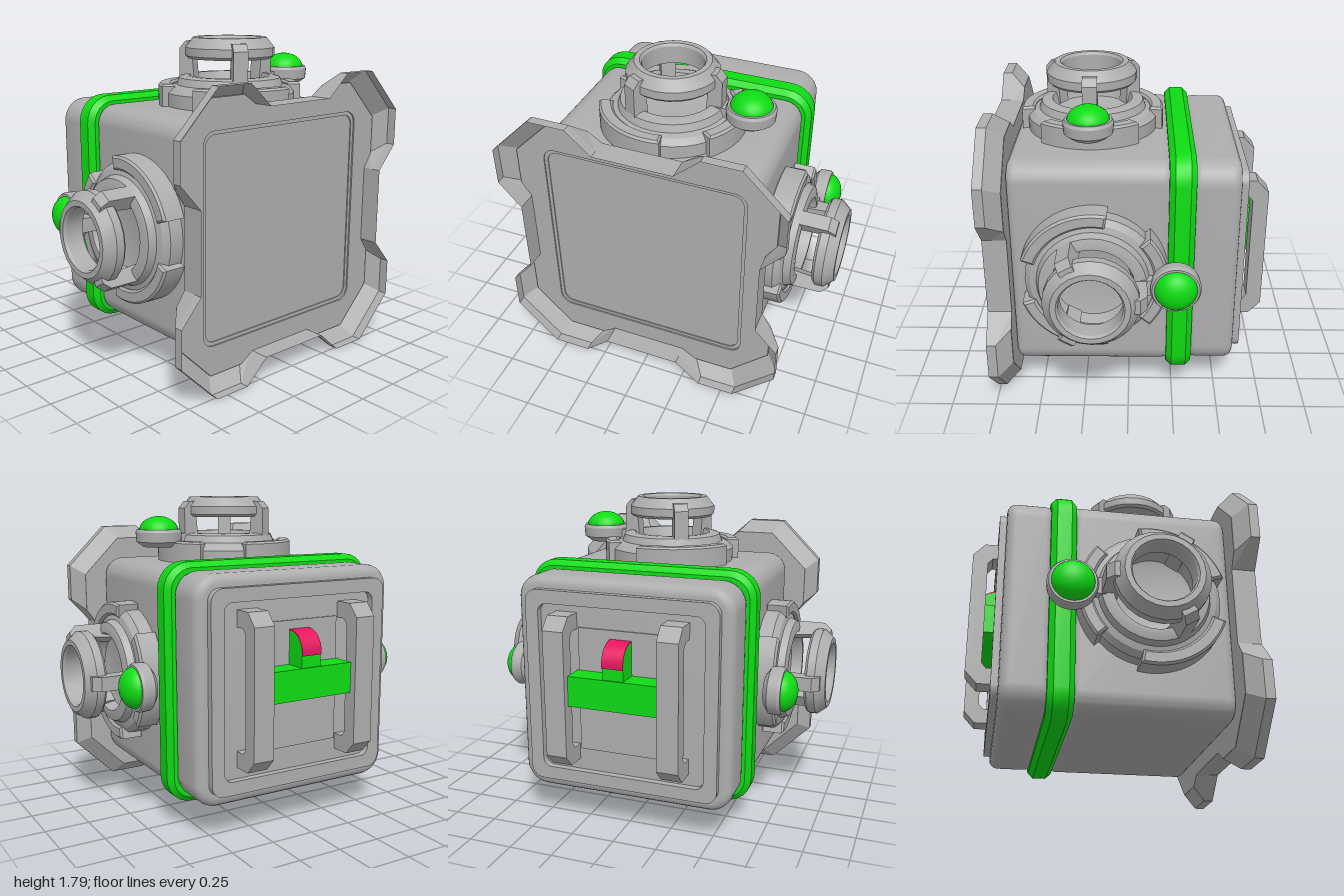
import * as THREE from 'three';
import { toCreasedNormals } from 'three/addons/utils/BufferGeometryUtils.js';

const grey = new THREE.MeshStandardMaterial({ color: 0xaeaeae, side: THREE.DoubleSide });
grey.name = 'grey shell';
const green = new THREE.MeshStandardMaterial({ color: 0x0fdc14 });
green.name = 'green accent';
const red = new THREE.MeshStandardMaterial({ color: 0xe61560 });
red.name = 'red accent';

const CY = 0.808; // height of the body axis

function add(parent, name, geometry, material, x = 0, y = 0, z = 0) {
  const mesh = new THREE.Mesh(geometry, material);
  mesh.name = name;
  mesh.position.set(x, y, z);
  parent.add(mesh);
  return mesh;
}

const polygon = (points) => new THREE.Shape(points.map(([x, y]) => new THREE.Vector2(x, y)));

function roundedSquare(h, r) {
  const s = new THREE.Shape();
  s.moveTo(-h + r, -h);
  s.lineTo(h - r, -h);
  s.absarc(h - r, -h + r, r, -Math.PI / 2, 0);
  s.lineTo(h, h - r);
  s.absarc(h - r, h - r, r, 0, Math.PI / 2);
  s.lineTo(-h + r, h);
  s.absarc(-h + r, h - r, r, Math.PI / 2, Math.PI);
  s.lineTo(-h, -h + r);
  s.absarc(-h + r, -h + r, r, Math.PI, Math.PI * 1.5);
  return s;
}

// Square block along z with rounded corners and bevelled ends
function block(half, r, z0, z1, bevel, bevelSegments, curveSegments, crease = 0.6) {
  const g = new THREE.ExtrudeGeometry(roundedSquare(half - bevel, r - bevel), {
    depth: z1 - z0 - 2 * bevel, bevelEnabled: true, bevelThickness: bevel,
    bevelSize: bevel, bevelSegments, curveSegments,
  });
  g.translate(0, 0, z0 + bevel);
  return toCreasedNormals(g, crease);
}

// Repeats one corner's points around all four corners
function fourCorners(quarter) {
  const flip = (sx, sy) => quarter.map(([x, y]) => [x * sx, y * sy]);
  return [...flip(1, 1), ...flip(1, -1).reverse(), ...flip(-1, -1), ...flip(-1, 1).reverse()];
}

// Front tray: flat floor, with walls that flare at the corners
function makeTray() {
  const tray = new THREE.Group();
  tray.name = 'frontTray';
  const rim = fourCorners([[0.22, 0.68], [0.36, 0.805], [0.57, 0.805], [0.805, 0.57], [0.805, 0.36], [0.68, 0.22]]);
  const foot = fourCorners([[0.22, 0.68], [0.3, 0.735], [0.52, 0.735], [0.735, 0.52], [0.735, 0.3], [0.68, 0.22]]);
  const levels = [[foot, 0.638], [rim, 0.715], [rim, 0.767]];
  const pos = [];
  for (let l = 0; l < 2; l++) {
    const [low, zl] = levels[l], [high, zh] = levels[l + 1];
    for (let i = 0; i < rim.length; i++) {
      const j = (i + 1) % rim.length;
      const a = [...low[i], zl], b = [...low[j], zl], c = [...high[j], zh], d = [...high[i], zh];
      pos.push(...a, ...d, ...c, ...a, ...c, ...b);
    }
  }
  const walls = new THREE.BufferGeometry();
  walls.setAttribute('position', new THREE.Float32BufferAttribute(pos, 3));
  walls.computeVertexNormals();
  add(tray, 'trayWalls', walls, grey, 0, CY);

  const floor = polygon(foot);
  floor.holes.push(roundedSquare(0.57, 0.07));
  add(tray, 'trayFloor', new THREE.ExtrudeGeometry(floor, { depth: 0.018, bevelEnabled: false }), grey, 0, CY, 0.636);
  // shallow sunken panel with a sloped border
  const slope = roundedSquare(0.57, 0.07);
  slope.holes.push(roundedSquare(0.55, 0.06));
  add(tray, 'panelBorder', new THREE.ExtrudeGeometry(slope, { depth: 0.01, bevelEnabled: false }), grey, 0, CY, 0.636);
  add(tray, 'sunkenPanel', new THREE.ShapeGeometry(roundedSquare(0.57, 0.07)), grey, 0, CY, 0.64);
  return tray;
}

const lathe = (points, n = 36) => toCreasedNormals(
  new THREE.LatheGeometry(points.map(([r, h]) => new THREE.Vector2(r, h)), n), 0.45);

// Ring segment lying flat, from height h0 to h1
function arcSegment(r0, r1, from, to, h0, h1) {
  const s = new THREE.Shape();
  s.absarc(0, 0, r1, from, to, false);
  s.absarc(0, 0, r0, to, from, true);
  const b = 0.012;
  const g = new THREE.ExtrudeGeometry(s, {
    depth: h1 - h0 - b, bevelEnabled: true, bevelThickness: b, bevelSize: b,
    bevelOffset: -b, bevelSegments: 1, curveSegments: 12,
  });
  g.rotateX(-Math.PI / 2);
  g.translate(0, h0, 0);
  return toCreasedNormals(g, 0.4);
}

// Port pointing along +y, with its lamp towards +x
function makePort(name) {
  const port = new THREE.Group();
  port.name = name;
  add(port, 'portBase', lathe([[0.365, -0.01], [0.365, 0.075], [0.335, 0.105], [0.3, 0.115], [0.285, 0.155],
    [0.25, 0.165], [0.225, 0.165], [0.205, 0.1], [0.165, 0.09], [0, 0.09]]), grey);
  add(port, 'portRing', lathe([[0.165, 0.26], [0.235, 0.26], [0.25, 0.275], [0.25, 0.32], [0.205, 0.375],
    [0.175, 0.375], [0.165, 0.36], [0.165, 0.26]], 24), grey);
  const strut = polygon([[0.195, 0.1], [0.275, 0.1], [0.285, 0.15], [0.285, 0.31], [0.25, 0.35], [0.215, 0.35]]);
  for (let i = 0; i < 3; i++) {
    const a = (i * Math.PI * 2) / 3;
    add(port, 'portCollar', arcSegment(0.325, 0.4, a - 0.72, a + 0.72, 0, 0.125), grey);
    const g = new THREE.ExtrudeGeometry(strut, { depth: 0.08, bevelEnabled: false });
    g.translate(0, 0, -0.04);
    add(port, 'portStrut', g, grey).rotation.y = a;
  }
  // lamp in a shallow cup, carried by a short arm
  add(port, 'lampArm', new THREE.BoxGeometry(0.14, 0.06, 0.09), grey, 0.32, 0.135, 0);
  add(port, 'lampCup', lathe([[0, 0.09], [0.09, 0.09], [0.13, 0.12], [0.134, 0.175], [0.125, 0.192],
    [0.108, 0.192], [0.105, 0.17]]), grey, 0.435);
  const dome = new THREE.SphereGeometry(0.114, 28, 10, 0, Math.PI * 2, 0, Math.PI / 2);
  dome.scale(1, 0.75, 1);
  add(port, 'lampDome', dome, green, 0.435, 0.18, 0);
  return port;
}

// Side profile of (depth to the rear, height), given a width in x
function sideProfile(shape, width) {
  const g = new THREE.ExtrudeGeometry(shape, { depth: width, bevelEnabled: false, curveSegments: 8 });
  g.translate(0, 0, -width / 2);
  g.rotateY(Math.PI / 2);
  return toCreasedNormals(g, 0.5);
}

function makeBack() {
  const back = new THREE.Group();
  back.name = 'backPanel';
  const frame = roundedSquare(0.55, 0.07);
  frame.holes.push(roundedSquare(0.475, 0.05));
  add(back, 'backFrame', new THREE.ExtrudeGeometry(frame, { depth: 0.045, bevelEnabled: false }), grey, 0, CY, -0.63);
  add(back, 'backInset', new THREE.BoxGeometry(0.5, 0.7, 0.012), grey, 0, 0.81, -0.594);

  const handle = polygon([[0.58, 0.395], [0.7, 0.395], [0.765, 0.465], [0.765, 1.17], [0.7, 1.24], [0.58, 1.24],
    [0.58, 1.15], [0.655, 1.15], [0.68, 1.12], [0.68, 0.515], [0.655, 0.485], [0.58, 0.485]]);
  for (const side of [-1, 1]) add(back, 'handle', sideProfile(handle, 0.12), grey, side * 0.32);

  add(back, 'latchBar', new THREE.BoxGeometry(0.52, 0.17, 0.135), green, 0, 0.835, -0.6575);
  const stem = new THREE.Shape();
  stem.moveTo(0.59, 0.9);
  stem.lineTo(0.718, 0.9);
  stem.lineTo(0.718, 1.0);
  stem.absarc(0.613, 1.0, 0.105, 0, Math.PI / 2);
  stem.lineTo(0.59, 1.105);
  add(back, 'latchStem', sideProfile(stem, 0.12), green);
  const cap = new THREE.Shape();
  cap.moveTo(0.718, 0.985);
  cap.lineTo(0.725, 0.985);
  cap.absarc(0.613, 1.0, 0.112, 0, Math.PI / 2);
  cap.lineTo(0.59, 1.112);
  cap.lineTo(0.59, 1.105);
  cap.absarc(0.613, 1.0, 0.105, Math.PI / 2, 0, true);
  add(back, 'latchCap', sideProfile(cap, 0.122), red);
  return back;
}

export function createModel() {
  const model = new THREE.Group();
  model.name = 'cubeDevice';

  // main hull, green belt and rear block
  add(model, 'mainBody', block(0.618, 0.11, -0.23, 0.635, 0.045, 4, 8), grey, 0, CY);
  add(model, 'greenBelt', block(0.662, 0.15, -0.352, -0.212, 0.03, 1, 3, 0.3), green, 0, CY);
  add(model, 'rearBlock', block(0.618, 0.13, -0.592, -0.33, 0.05, 4, 8), grey, 0, CY);
  model.add(makeTray(), makeBack());

  // one port on top and one on each side
  const top = makePort('topPort');
  top.position.set(0, 1.423, 0.21);
  model.add(top);
  for (const side of [1, -1]) {
    const port = makePort(side > 0 ? 'leftPort' : 'rightPort');
    port.setRotationFromMatrix(new THREE.Matrix4().makeBasis(
      new THREE.Vector3(0, 0, -1), new THREE.Vector3(side, 0, 0), new THREE.Vector3(0, -side, 0)));
    port.position.set(side * 0.622, 0.81, 0.185);
    model.add(port);
  }
  return model;
}
